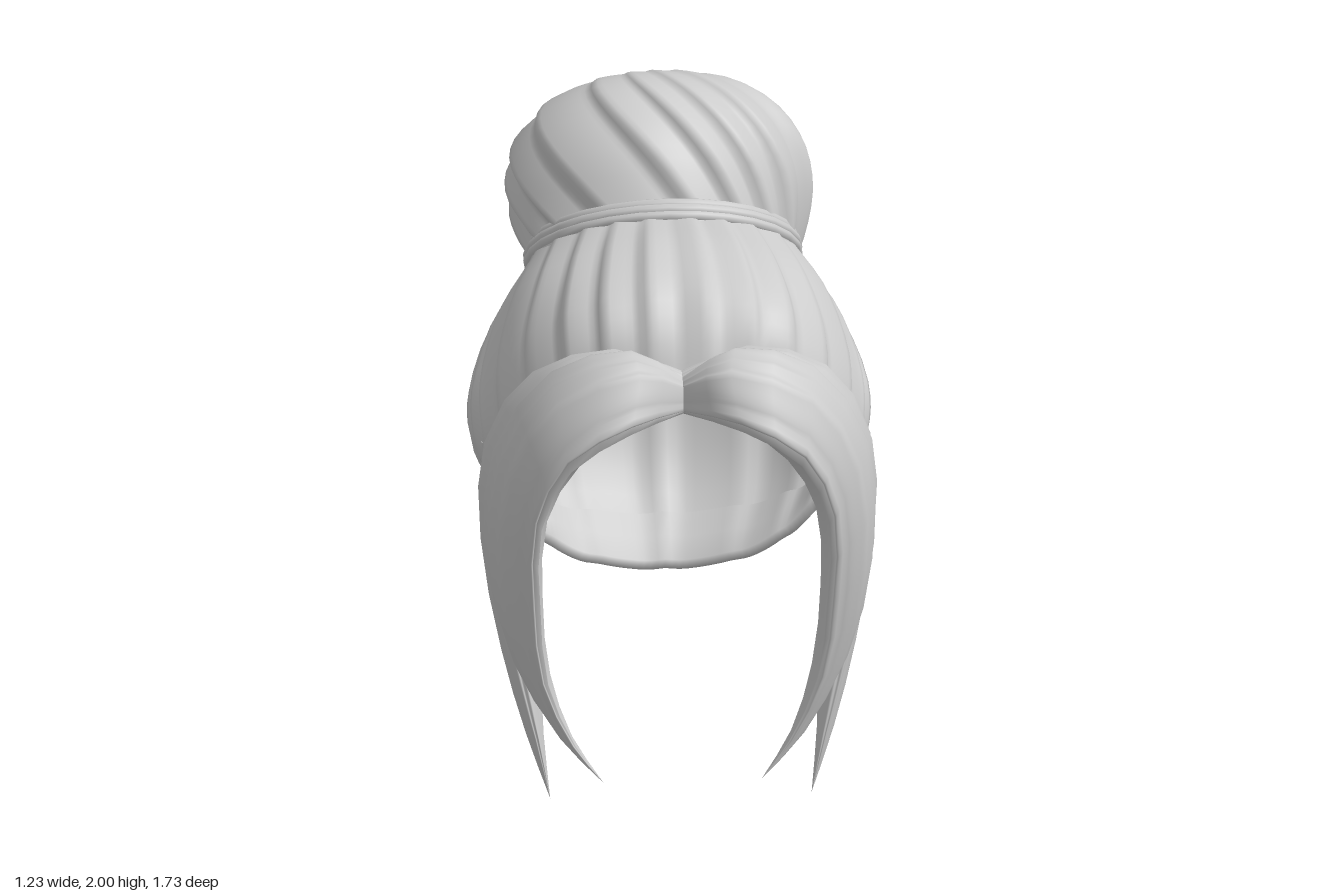
import * as THREE from 'three';

const material = new THREE.MeshStandardMaterial({ color: 0xcccccc, side: THREE.DoubleSide });
const V = (p) => new THREE.Vector3(...p);

// Direction of the bun and the centre of the hair tie
const axis = new THREE.Vector3(0, 0.75, -0.66).normalize();
const tieCentre = new THREE.Vector3(0, 1.435, -0.3);

// Pointed ridge wave with uneven strands, range 0..1; t is in turns
function fold(t, count) {
  const s = t * count + 0.35 * Math.sin(t * Math.PI * 2 * 3);
  const f = s - Math.floor(s);
  return f < 0.75 ? f / 0.75 : (1 - f) / 0.25;
}

// Skin through closed loops of points
function loft(name, rows) {
  const n = rows[0].length, index = [];
  for (let i = 0; i < rows.length - 1; i++) {
    for (let j = 0; j < n; j++) {
      const k = (j + 1) % n;
      const a = i * n + j, b = i * n + k, c = a + n, d = b + n;
      index.push(a, c, b, b, c, d);
    }
  }
  const geometry = new THREE.BufferGeometry().setFromPoints(rows.flat());
  geometry.setIndex(index);
  geometry.computeVertexNormals();
  const mesh = new THREE.Mesh(geometry, material);
  mesh.name = name;
  return mesh;
}

// Tapered lock: each station gives front, outer, back and inner points, or one tip point
function lock(name, stations, ridges, depth, steps = 14) {
  const edges = [0, 1, 2, 3].map((k) =>
    new THREE.CatmullRomCurve3(stations.map((s) => V(s.length === 1 ? s[0] : s[k]))));
  const rows = [];
  for (let i = 0; i <= steps; i++) {
    const corners = edges.map((e) => e.getPoint(i / steps));
    const centre = corners.reduce((sum, p) => sum.add(p), new THREE.Vector3()).multiplyScalar(0.25);
    const section = new THREE.CatmullRomCurve3(corners, true);
    const row = [];
    for (let j = 0; j < 40; j++) {
      const p = section.getPoint(j / 40);
      row.push(p.sub(centre).multiplyScalar(1 + depth * (fold(j / 40, ridges) - 0.6)).add(centre));
    }
    rows.push(row);
  }
  return loft(name, rows);
}

// Hair swept from the hairline up to the tie; strands listed front to back for one side
function buildCap() {
  const half = [
    [[0, 1.69, -0.01], [0, 1.7, 0.22], [0, 1.64, 0.42], [0, 1.52, 0.53], [0, 1.34, 0.6]],
    [[0.2, 1.66, -0.04], [0.25, 1.64, 0.2], [0.28, 1.57, 0.4], [0.28, 1.48, 0.49], [0.27, 1.32, 0.54]],
    [[0.35, 1.56, -0.15], [0.42, 1.52, 0.1], [0.47, 1.4, 0.26], [0.47, 1.28, 0.38], [0.45, 1.15, 0.44]],
    [[0.4, 1.45, -0.27], [0.51, 1.35, -0.06], [0.57, 1.2, 0.1], [0.57, 1.08, 0.2], [0.55, 0.95, 0.23]],
    [[0.37, 1.34, -0.4], [0.51, 1.27, -0.22], [0.6, 1.12, 0], [0.6, 1.0, 0.06], [0.57, 0.9, 0.08]],
    [[0.34, 1.285, -0.47], [0.49, 1.21, -0.34], [0.59, 1.06, -0.15], [0.6, 0.97, -0.08], [0.57, 0.89, -0.07]],
    [[0.27, 1.24, -0.52], [0.44, 1.15, -0.43], [0.55, 0.97, -0.28], [0.56, 0.82, -0.2], [0.5, 0.68, -0.15]],
    [[0.15, 1.19, -0.57], [0.27, 1.1, -0.55], [0.36, 0.88, -0.47], [0.36, 0.68, -0.36], [0.3, 0.5, -0.16]],
    [[0, 1.17, -0.59], [0, 1.08, -0.57], [0, 0.86, -0.55], [0, 0.62, -0.44], [0, 0.43, -0.2]],
  ];
  const mirrored = half.slice(1, -1).reverse().map((s) => s.map(([x, y, z]) => [-x, y, z]));
  const strands = [...half, ...mirrored];
  const rings = [0, 1, 2, 3, 4].map((k) =>
    new THREE.CatmullRomCurve3(strands.map((s) => V(s[k])), true));
  const middle = new THREE.Vector3(0, 1.1, -0.02);
  const count = 224, steps = 14;
  const rows = Array.from({ length: steps + 1 }, () => []);
  for (let j = 0; j < count; j++) {
    const t = j / count;
    const strand = new THREE.CatmullRomCurve3(rings.map((r) => r.getPoint(t)));
    const side = Math.min(t, 1 - t);
    for (let i = 0; i <= steps; i++) {
      const v = i / steps;
      const depth = 0.04 * Math.sin(Math.PI * (0.12 + 0.8 * v));
      const p = strand.getPoint(v).sub(middle);
      rows[i].push(p.multiplyScalar(1 + depth * (fold(side, 30) - 0.5)).add(middle));
    }
  }
  // Hem turned inwards
  for (const i of [steps, steps - 1, steps - 2]) {
    rows.push(rows[i].map((p) => p.clone().sub(middle).multiplyScalar(0.95).add(middle)));
  }
  return loft('sweptHair', rows);
}

// Twisted bun with its crown pushed backwards, built upright and then tilted
function buildBun() {
  const profile = new THREE.CatmullRomCurve3([
    [0.365, -0.03, 0], [0.4, 0.08, 0], [0.425, 0.2, 0], [0.415, 0.32, 0],
    [0.36, 0.43, 0], [0.25, 0.515, 0], [0.1, 0.55, 0], [0, 0.53, 0]].map(V));
  const rows = [];
  for (let i = 0; i <= 20; i++) {
    const v = i / 20, p = profile.getPoint(v), row = [];
    for (let j = 0; j < 144; j++) {
      const t = j / 144;
      const a = t * Math.PI * 2 - 1.4 * (1 - v);
      const r = p.x * (1 + 0.07 * (fold(t, 15) - 0.5));
      row.push(new THREE.Vector3(r * 1.08 * Math.cos(a), p.y, r * Math.sin(a) - 0.06 * v ** 3));
    }
    rows.push(row);
  }
  const bun = loft('bun', rows);
  bun.position.copy(tieCentre);
  bun.quaternion.setFromUnitVectors(new THREE.Vector3(0, 1, 0), axis);
  return bun;
}

// Four stacked cords around the base of the bun
function buildTie() {
  const tie = new THREE.Group();
  tie.name = 'hairTie';
  for (let i = 0; i < 4; i++) {
    const cord = new THREE.Mesh(new THREE.TorusGeometry(i % 3 ? 0.41 : 0.4, 0.018, 8, 28), material);
    cord.name = 'hairTieCord';
    cord.position.z = (i - 1.5) * 0.02;
    tie.add(cord);
  }
  tie.position.copy(tieCentre);
  tie.quaternion.setFromUnitVectors(new THREE.Vector3(0, 0, 1), axis);
  return tie;
}

// Fringe locks and sideburn wisps of the left side
function buildSide() {
  const side = new THREE.Group();
  side.add(lock('frontFringeLock', [
    [[0, 1.32, 0.66], [0, 1.4, 0.66], [0, 1.42, 0.62], [0, 1.34, 0.62]],
    [[0.17, 1.34, 0.84], [0.14, 1.48, 0.77], [0.16, 1.53, 0.66], [0.17, 1.3, 0.66]],
    [[0.36, 1.22, 0.835], [0.39, 1.38, 0.76], [0.4, 1.44, 0.6], [0.31, 1.18, 0.62]],
    [[0.45, 1.0, 0.775], [0.53, 1.12, 0.71], [0.57, 1.15, 0.52], [0.42, 0.98, 0.57]],
    [[0.45, 0.7, 0.705], [0.55, 0.75, 0.65], [0.59, 0.8, 0.46], [0.44, 0.7, 0.52]],
    [[0.42, 0.42, 0.65], [0.49, 0.45, 0.61], [0.51, 0.45, 0.48], [0.41, 0.42, 0.52]],
    [[0.33, 0.2, 0.62], [0.37, 0.22, 0.61], [0.38, 0.24, 0.57], [0.34, 0.22, 0.57]],
    [[0.24, 0.08, 0.63]],
  ], 7, 0.18));
  side.add(lock('backFringeLock', [
    [[0, 1.38, 0.64], [0, 1.42, 0.61], [0, 1.42, 0.57], [0, 1.34, 0.6]],
    [[0.16, 1.48, 0.7], [0.2, 1.5, 0.6], [0.2, 1.46, 0.5], [0.2, 1.37, 0.6]],
    [[0.38, 1.39, 0.65], [0.44, 1.4, 0.54], [0.44, 1.35, 0.4], [0.36, 1.27, 0.5]],
    [[0.54, 1.12, 0.6], [0.59, 1.12, 0.45], [0.57, 1.1, 0.3], [0.47, 1.05, 0.45]],
    [[0.55, 0.75, 0.52], [0.6, 0.8, 0.4], [0.57, 0.75, 0.26], [0.47, 0.7, 0.4]],
    [[0.49, 0.42, 0.54], [0.54, 0.45, 0.45], [0.51, 0.45, 0.33], [0.43, 0.42, 0.45]],
    [[0.44, 0.2, 0.56], [0.47, 0.2, 0.51], [0.46, 0.2, 0.45], [0.42, 0.2, 0.51]],
    [[0.4, 0, 0.55]],
  ], 7, 0.18));
  for (const [z, tipY, w] of [[0.15, 0.72, 0.04], [0.18, 0.79, 0.035]]) {
    const ring = (x, y, s) =>
      [[x, y, z + s], [x + s * 0.6, y, z], [x, y, z - s], [x - s * 0.6, y, z]];
    side.add(lock('sideburnWisp', [
      ring(0.55, 1.02, w * 1.4), ring(0.54, 0.9, w), ring(0.53, 0.81, w * 0.45), [[0.51, tipY, z - 0.01]],
    ], 4, 0.1, 8));
  }
  return side;
}

export function createModel() {
  const model = new THREE.Group();
  model.name = 'hairstyle';
  model.add(buildCap(), buildBun(), buildTie());
  const left = buildSide();
  left.name = 'leftFringe';
  const right = left.clone();
  right.name = 'rightFringe';
  right.scale.x = -1;
  model.add(left, right);
  return model;
}
